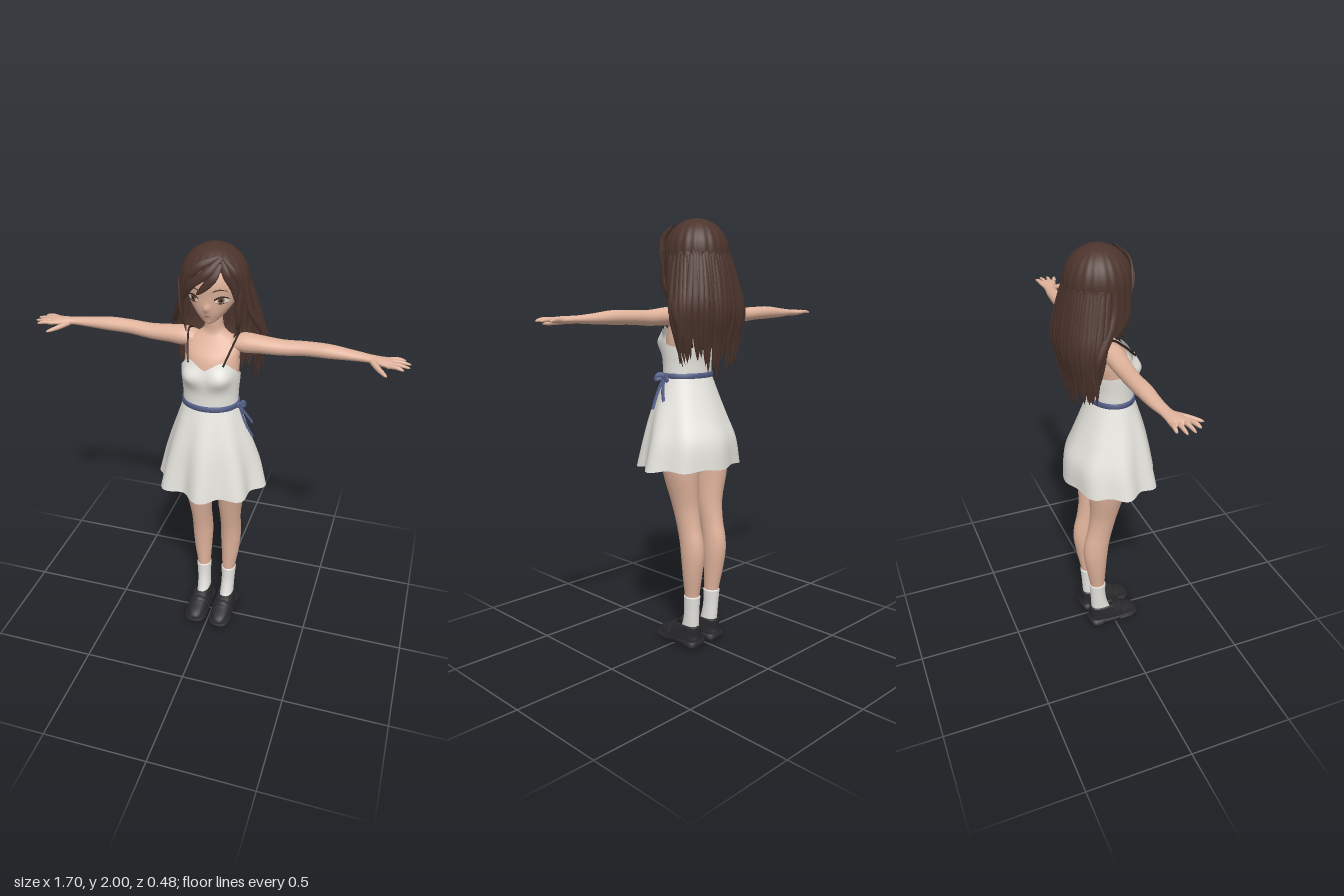
import * as THREE from 'three';
import { mergeVertices } from 'three/addons/utils/BufferGeometryUtils.js';

const V = (x, y, z) => new THREE.Vector3(x, y, z);
const { sin, cos, abs, PI, sqrt, pow, max, exp } = Math;

const mat = (name, color, double) => {
  const m = new THREE.MeshStandardMaterial({ color });
  m.name = name;
  if (double) m.side = THREE.DoubleSide;
  return m;
};

// Smooth interpolation in a table whose first column ascends
function at(rows, y) {
  let i = 0;
  while (i < rows.length - 2 && y > rows[i + 1][0]) i++;
  const p = rows[max(0, i - 1)], a = rows[i], b = rows[i + 1], q = rows[Math.min(rows.length - 1, i + 2)];
  const h = b[0] - a[0], t = Math.min(1, max(0, (y - a[0]) / h));
  return a.map((_, k) => {
    const ma = (b[k] - p[k]) / (b[0] - p[0]) * h, mb = (q[k] - a[k]) / (q[0] - a[0]) * h;
    return a[k] * (1 + 2 * t) * (1 - t) ** 2 + ma * t * (1 - t) ** 2 + b[k] * t * t * (3 - 2 * t) + mb * t * t * (t - 1);
  });
}

// Surface from a point function of u and v (0..1)
function grid(f, nu, nv) {
  const pos = [], idx = [];
  for (let j = 0; j <= nv; j++) for (let i = 0; i <= nu; i++) pos.push(...f(i / nu, j / nv).toArray());
  for (let j = 0; j < nv; j++) for (let i = 0; i < nu; i++) {
    const a = j * (nu + 1) + i, d = a + nu + 1;
    idx.push(a, a + 1, d + 1, a, d + 1, d);
  }
  let g = new THREE.BufferGeometry();
  g.setAttribute('position', new THREE.Float32BufferAttribute(pos, 3));
  g.setIndex(idx);
  g = mergeVertices(g, 1e-5);
  g.computeVertexNormals();
  return g;
}

// Upright loft through rows of [y, x, z, rx, rz]; e < 1 squares the outline
function loft(rows, { nu = 32, e = 1, sub = 4, bump } = {}) {
  const n = rows.length - 1, sp = (c) => Math.sign(c) * pow(abs(c), e);
  return grid((u, v) => {
    const i = Math.min(n - 1, Math.floor(v * n + 1e-6)), t = v * n - i;
    const y = rows[i][0] + (rows[i + 1][0] - rows[i][0]) * t, r = at(rows, y), a = u * 2 * PI;
    const p = V(r[1] + r[3] * sp(sin(a)), y, r[2] + r[4] * sp(cos(a)));
    return bump ? bump(p) : p;
  }, nu, n * sub);
}

// Flattened strand along a curve, with a width rule
const lockTaper = (t) => pow(max(0, sin(PI * (0.12 + 0.88 * t))), 0.6);
const even = () => 1;
function strand(pts, w, d, out, k = lockTaper, nv = 14, nu = 8) {
  const c = new THREE.CatmullRomCurve3(pts.map((p) => V(...p)));
  return grid((u, v) => {
    const T = c.getTangent(v), e1 = V(...out).cross(T).normalize(), e2 = T.clone().cross(e1), a = u * 2 * PI;
    return c.getPoint(v).addScaledVector(e1, w * k(v) * cos(a)).addScaledVector(e2, d * k(v) * sin(a));
  }, nu, nv);
}

function mirrored(geo) {
  const g = geo.clone().scale(-1, 1, 1), ix = g.index.array;
  for (let i = 0; i < ix.length; i += 3) [ix[i], ix[i + 1]] = [ix[i + 1], ix[i]];
  return g;
}

export function createModel() {
  const root = new THREE.Group();
  root.name = 'girl';
  const skin = mat('skin', 0xe0b39c), hair = mat('hair brown', 0x4c342c, true), dress = mat('dress white', 0xe6e4de, true);
  const blue = mat('belt blue', 0x55608a), black = mat('shoe black', 0x29292c), sock = mat('sock white', 0xeceae6);
  const white = mat('eye white', 0xf0e8e2), iris = mat('iris brown', 0x8a6244), dark = mat('dark brown', 0x2e1f1c), lip = mat('lip', 0xb9786c);
  const add = (name, geo, m) => {
    const mesh = new THREE.Mesh(geo, m);
    mesh.name = name;
    root.add(mesh);
  };
  const pair = (name, geo, m) => { add(name + 'Left', geo, m); add(name + 'Right', mirrored(geo), m); };

  // Head with a small nose, and the face surface for painted details
  const headRows = [[1.675, 0, 0.035, 0.004, 0.006], [1.685, 0, 0.035, 0.022, 0.022], [1.7, 0, 0.025, 0.042, 0.038],
    [1.73, 0, 0.005, 0.07, 0.07], [1.77, 0, -0.015, 0.098, 0.096], [1.81, 0, -0.025, 0.112, 0.11], [1.86, 0, -0.03, 0.118, 0.12],
    [1.92, 0, -0.04, 0.105, 0.11], [1.965, 0, -0.045, 0.06, 0.06], [1.975, 0, -0.045, 0.005, 0.005]];
  const nose = (p) => {
    if (p.z > 0) p.z += 0.014 * exp(-((p.x / 0.012) ** 2) - ((p.y - 1.757) / 0.014) ** 2);
    return p;
  };
  add('head', loft(headRows, { nu: 56, bump: nose }), skin);
  const face = (x, y, off) => {
    const r = at(headRows, y);
    return [x, y, r[2] + r[4] * sqrt(max(0, 1 - (x / r[3]) ** 2)) + off];
  };
  const decal = (x, y, rx, ry, off) => {
    const g = new THREE.CircleGeometry(1, 24).scale(rx, ry, 1).translate(x, y, 0), p = g.attributes.position;
    for (let i = 0; i < p.count; i++) p.setZ(i, face(p.getX(i), p.getY(i), off)[2]);
    g.computeVertexNormals();
    return g;
  };
  pair('eyeWhite', decal(0.062, 1.796, 0.026, 0.013, 0.002), white);
  pair('iris', decal(0.06, 1.797, 0.013, 0.013, 0.004), iris);
  pair('pupil', decal(0.06, 1.797, 0.006, 0.008, 0.006), dark);
  const line = (pts, w, k) => strand(pts.map(([x, y]) => face(x, y, 0.005)), w, 0.002, [0, 0, 1], k);
  pair('upperLash', line([[0.034, 1.8], [0.05, 1.81], [0.07, 1.811], [0.094, 1.797]], 0.004), dark);
  pair('lowerLash', line([[0.042, 1.785], [0.062, 1.782], [0.084, 1.786]], 0.0015), dark);
  pair('eyebrow', line([[0.03, 1.838], [0.055, 1.845], [0.085, 1.836]], 0.003), hair);
  add('mouth', decal(0, 1.72, 0.014, 0.004, 0.002), lip);

  // Neck and torso
  add('torso', loft([[1.25, 0, 0.015, 0.11, 0.09], [1.4, 0, 0.01, 0.12, 0.085], [1.47, 0, 0, 0.124, 0.088], [1.52, 0, -0.007, 0.122, 0.08],
    [1.56, 0, -0.02, 0.122, 0.062], [1.59, 0, -0.03, 0.1, 0.05], [1.612, 0, -0.035, 0.062, 0.042], [1.635, 0, -0.035, 0.043, 0.04],
    [1.68, 0, -0.03, 0.039, 0.04], [1.74, 0, -0.025, 0.039, 0.04]]), skin);

  // Arms, built upright and laid along x
  const arm = loft([[0.07, -1.57, -0.04, 0.028, 0.045], [0.14, -1.572, -0.04, 0.043, 0.05], [0.2, -1.572, -0.04, 0.039, 0.046],
    [0.3, -1.568, -0.045, 0.034, 0.04], [0.4, -1.573, -0.052, 0.031, 0.036], [0.5, -1.575, -0.05, 0.03, 0.036], [0.6, -1.572, -0.048, 0.022, 0.03],
    [0.68, -1.571, -0.04, 0.016, 0.026], [0.72, -1.57, -0.03, 0.016, 0.035], [0.765, -1.57, -0.025, 0.013, 0.042], [0.785, -1.57, -0.024, 0.003, 0.03]], { nu: 24 });
  pair('arm', arm.rotateZ(-PI / 2), skin);
  const tip = (t) => sqrt(max(0, 1 - t ** 5)) * (1 - 0.25 * t);
  [[0.01, 0.825, 0.03], [-0.013, 0.848, -0.002], [-0.036, 0.85, -0.036], [-0.057, 0.825, -0.067]].forEach(([z0, x1, z1], i) =>
    pair('finger' + (i + 1), strand([[0.755, 1.57, z0], [0.79, 1.574, (z0 + z1) / 2], [x1, 1.568, z1]], 0.011, 0.01, [0, 1, 0], tip), skin));
  pair('thumb', strand([[0.69, 1.567, -0.02], [0.72, 1.56, 0.025], [0.762, 1.552, 0.075]], 0.014, 0.012, [0, 1, 0], tip), skin);

  // Legs, socks and loafers
  pair('leg', loft([[0.09, 0.065, -0.075, 0.027, 0.03], [0.25, 0.067, -0.083, 0.033, 0.037], [0.35, 0.072, -0.09, 0.043, 0.048],
    [0.45, 0.074, -0.094, 0.05, 0.06], [0.52, 0.075, -0.088, 0.05, 0.063], [0.6, 0.076, -0.07, 0.051, 0.062], [0.7, 0.08, -0.052, 0.06, 0.068],
    [0.85, 0.097, -0.04, 0.077, 0.09], [0.95, 0.095, -0.035, 0.082, 0.095], [1.04, 0.085, -0.02, 0.06, 0.08]]), skin);
  pair('sock', loft([[0.06, 0.063, -0.06, 0.036, 0.05], [0.12, 0.064, -0.073, 0.034, 0.043], [0.18, 0.066, -0.08, 0.034, 0.039],
    [0.24, 0.067, -0.083, 0.037, 0.041], [0.252, 0.067, -0.083, 0.037, 0.041], [0.256, 0.067, -0.083, 0.03, 0.034]]), sock);
  pair('shoeUpper', loft([[0.018, 0.065, 0, 0.048, 0.126], [0.035, 0.065, 0, 0.053, 0.129], [0.055, 0.065, -0.008, 0.051, 0.116],
    [0.075, 0.065, -0.03, 0.047, 0.094], [0.1, 0.065, -0.054, 0.042, 0.07], [0.106, 0.065, -0.057, 0.036, 0.06], [0.1, 0.065, -0.057, 0.03, 0.05]].slice(0, 6), { e: 0.8 }), black);
  const sole = (z, rz, h) => loft([[0, 0.065, z, 0.001, 0.001], [0.001, 0.065, z, 0.053, rz], [h, 0.065, z, 0.054, rz], [h + 0.001, 0.065, z, 0.001, 0.001]], { e: 0.65, sub: 1 });
  pair('soleFront', sole(0.055, 0.077, 0.022), black);
  pair('soleMiddle', sole(0, 0.129, 0.03).translate(0, 0.012, 0).scale(1, 0.8, 1), black);
  pair('heel', sole(-0.085, 0.046, 0.032), black);
  pair('shoeStrap', strand([[0.013, 0.04, 0.03], [0.03, 0.077, 0.036], [0.065, 0.092, 0.038], [0.1, 0.077, 0.036], [0.117, 0.04, 0.03]], 0.014, 0.004, [0, 0.9, 0.45], even), black);

  // Dress: shorts, pleated skirt and sweetheart bodice
  add('shorts', loft([[0.92, 0, -0.035, 0.02, 0.03], [0.95, 0, -0.035, 0.1, 0.09], [1.05, 0, -0.015, 0.15, 0.11], [1.15, 0, 0.01, 0.13, 0.1], [1.27, 0, 0.015, 0.11, 0.09]]), sock);
  const skirtRows = [[0.87, 0, 0.003, 0.25, 0.215], [1, 0, -0.003, 0.222, 0.2], [1.1, 0, 0.007, 0.192, 0.17], [1.2, 0, 0.013, 0.158, 0.136], [1.3, 0, 0.015, 0.125, 0.1]];
  add('skirt', grid((u, v) => {
    const a = u * 2 * PI, s = 1 - v, front = 0.5 + 0.5 * cos(a), y = 0.87 + 0.43 * v + 0.012 * s * (1 - front + 0.4 * cos(8 * a + PI));
    const r = at(skirtRows, y), k = 1 + s * (0.018 + 0.07 * front) * cos(8 * a) + 0.015 * s * sin(5 * a);
    return V(r[1] + r[3] * k * sin(a), y, r[2] + r[4] * k * cos(a));
  }, 128, 20), dress);
  const bodiceRows = [[1.3, 0, 0.015, 0.125, 0.1], [1.36, 0, 0.015, 0.127, 0.1], [1.42, 0, 0.015, 0.132, 0.106], [1.46, 0, 0.013, 0.133, 0.106], [1.53, 0, 0.008, 0.128, 0.1]];
  const neckline = [[0, 1.488], [0.6, 1.524], [1.1, 1.485], [1.7, 1.44], [PI, 1.43]];
  add('bodice', grid((u, v) => {
    const a = (u * 2 - 1) * PI, y = 1.3 + (at(neckline, abs(a))[1] - 1.3) * v, r = at(bodiceRows, y);
    const bust = 0.027 * exp(-(((abs(a) - 0.5) / 0.4) ** 2) - ((y - 1.45) / 0.045) ** 2);
    return V(r[1] + (r[3] + bust) * sin(a), y, r[2] + (r[4] + bust) * cos(a));
  }, 72, 20), dress);
  pair('shoulderStrap', strand([[0.078, 1.51, 0.1], [0.098, 1.57, 0.04], [0.112, 1.616, -0.03], [0.1, 1.575, -0.088], [0.075, 1.43, -0.09]], 0.005, 0.004, [1, 0.2, 0.1], even, 24), dark);

  // Belt with a side bow
  add('belt', loft([[1.287, 0, 0.015, 0.12, 0.096], [1.289, 0, 0.015, 0.132, 0.107], [1.311, 0, 0.015, 0.132, 0.107], [1.313, 0, 0.015, 0.12, 0.096]], { nu: 48, sub: 1 }), blue);
  add('beltKnot', new THREE.SphereGeometry(0.014, 12, 8).translate(0.134, 1.298, 0.03), blue);
  [[[0.134, 1.3, 0.03], [0.168, 1.22, 0.042], [0.203, 1.15, 0.036]], [[0.134, 1.3, 0.03], [0.168, 1.235, 0.005], [0.186, 1.19, -0.02]],
    [[0.134, 1.3, 0.03], [0.152, 1.306, 0.055], [0.16, 1.285, 0.062], [0.136, 1.294, 0.032]], [[0.134, 1.3, 0.03], [0.15, 1.303, 0.005], [0.155, 1.28, -0.012], [0.136, 1.294, 0.028]]]
    .forEach((pts, i) => add(i < 2 ? 'beltTail' : 'beltLoop', strand(pts, 0.01, 0.003, [1, 0.3, 0], even), blue));

  // Hair cap with an off-centre parting
  const hem = [[-PI, 1.62], [-1.4, 1.64], [-1.15, 1.67], [-0.85, 1.79], [-0.5, 1.835], [-0.1, 1.87], [0.4, 1.908], [0.75, 1.86], [1, 1.78], [1.2, 1.67], [1.4, 1.64], [PI, 1.62]];
  add('hairCap', grid((u, v) => {
    const a = (u * 2 - 1) * PI, c = (at(hem, a)[1] - 1.845) / 0.155 + 0.08 * abs(sin(a * 9));
    const end = c > 0 ? Math.acos(Math.min(1, c)) : PI / 2 - c, t = end * (1 - v), r = sin(Math.min(t, PI / 2)) * (1 + 0.012 * cos(a * 22) * sin(Math.min(t, 1.57)));
    const y = t < PI / 2 ? cos(t) : PI / 2 - t;
    return V(0.147 * r * sin(a), 1.845 + 0.155 * y, -0.045 + 0.148 * r * cos(a));
  }, 144, 24), hair);

  // Long back hair: a sheet under many tapered locks
  const mane = [[1.25, 0.13, -0.12, 0.06], [1.4, 0.16, -0.11, 0.08], [1.5, 0.185, -0.1, 0.11], [1.6, 0.198, -0.09, 0.138], [1.7, 0.175, -0.07, 0.145], [1.85, 0.146, -0.045, 0.146]];
  const onMane = (b, y, k = 1) => {
    const r = at(mane, y);
    return [-r[1] * k * sin(b), y, r[2] - r[3] * k * pow(max(0, cos(b)), 0.75)];
  };
  add('backHair', grid((u, v) => {
    const b = (u * 2 - 1) * 1.57, low = 1.4 + 0.05 * abs(sin(b * 8)) + 0.03 * abs(b);
    return V(...onMane(b, low + (1.85 - low) * v, 1 + 0.02 * cos(b * 26)));
  }, 96, 20), hair);
  let seed = 7;
  const rand = () => (seed = (seed * 16807) % 2147483647) / 2147483647;
  for (let i = 0; i < 31; i++) {
    const b = (i / 15 - 1) * 1.56, low = 1.27 + 0.05 * abs(b) + 0.09 * rand(), k = 1 + 0.05 * rand(), drift = (rand() - 0.5) * 0.2;
    const pts = [0, 0.25, 0.5, 0.75, 1].map((t) => onMane(b + drift * t, 1.84 + (low - 1.84) * t, t ? k : 0.98));
    add('backLock', strand(pts, 0.017, 0.008, [-sin(b), 0, -cos(b)], lockTaper, 18), hair);
  }

  // Fringe sweeping from the parting
  [[[0.05, 1.965, 0.06], [0, 1.91, 0.098], [-0.06, 1.86, 0.092], [-0.105, 1.78, 0.058]],
    [[0.055, 1.95, 0.07], [0.035, 1.9, 0.1], [0, 1.86, 0.105], [-0.04, 1.82, 0.098]],
    [[0.04, 1.97, 0.05], [-0.04, 1.93, 0.082], [-0.1, 1.86, 0.066], [-0.124, 1.76, 0.04]],
    [[0.055, 1.96, 0.06], [0.085, 1.91, 0.079], [0.112, 1.85, 0.064], [0.118, 1.79, 0.055]],
    [[0.06, 1.965, 0.05], [0.11, 1.91, 0.058], [0.132, 1.84, 0.038], [0.13, 1.75, 0.035]]]
    .forEach((pts) => add('fringeLock', strand(pts, 0.018, 0.006, [0, 0.3, 1]), hair));
  // Locks framing the face and flaring behind the shoulders
  pair('faceLock', strand([[0.136, 1.86, 0.03], [0.13, 1.76, 0.042], [0.126, 1.69, 0.03], [0.118, 1.65, 0.014], [0.104, 1.62, 0.035]], 0.016, 0.008, [1, 0, 0.3]), hair);
  pair('sideLock', strand([[0.143, 1.84, -0.02], [0.155, 1.74, -0.03], [0.185, 1.66, -0.07], [0.21, 1.58, -0.12], [0.19, 1.48, -0.12], [0.18, 1.36, -0.12]], 0.022, 0.012, [1, 0, 0.2], lockTaper, 20), hair);
  pair('sideWisp', strand([[0.143, 1.82, -0.05], [0.165, 1.7, -0.06], [0.205, 1.62, -0.11], [0.195, 1.52, -0.14], [0.2, 1.42, -0.13]], 0.014, 0.008, [1, 0, 0.2], lockTaper, 20), hair);
  return root;
}
